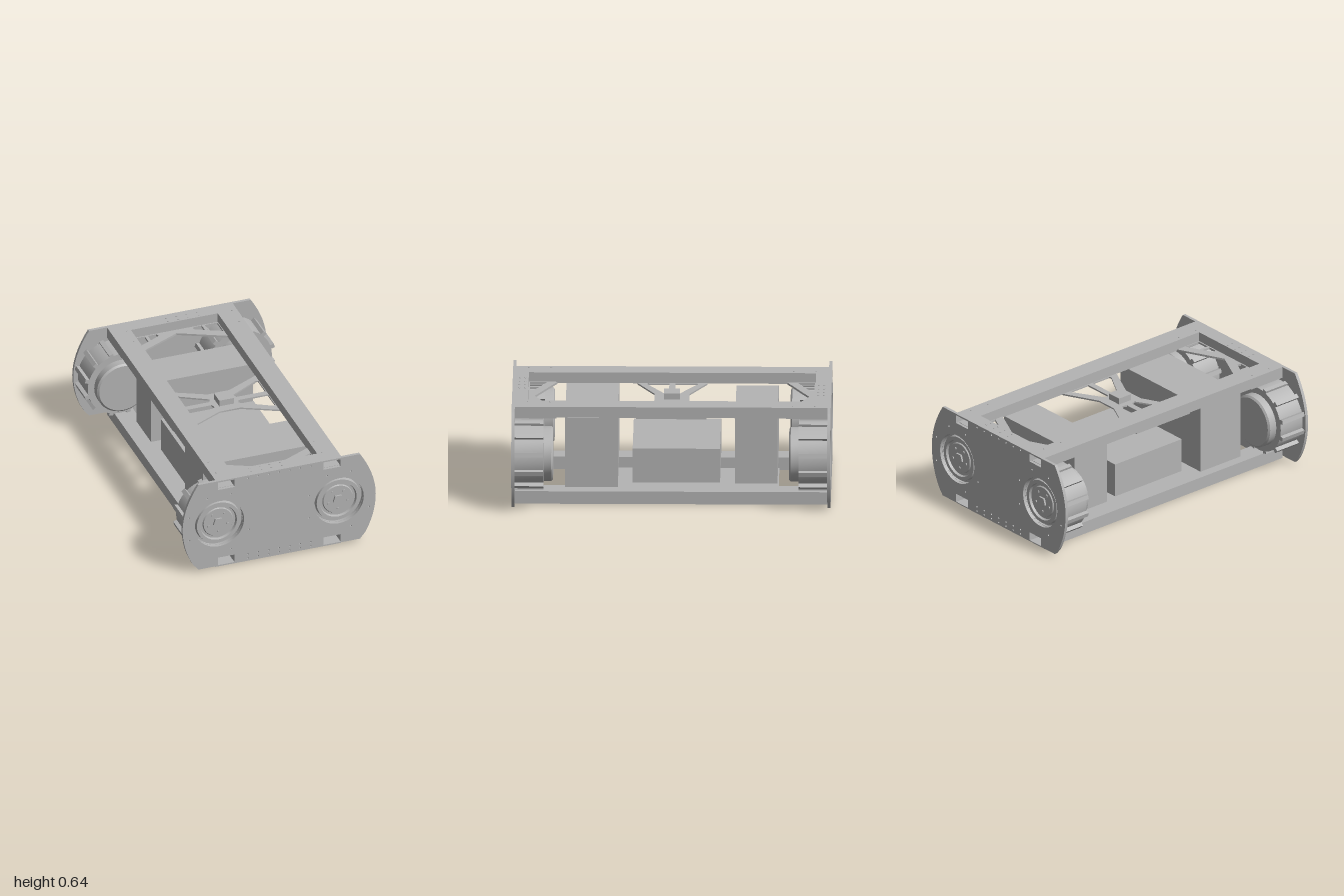
import * as THREE from 'three';
import { toCreasedNormals } from 'three/addons/utils/BufferGeometryUtils.js';

const frameGrey = new THREE.MeshStandardMaterial({ color: 0xb4b4b4 });
frameGrey.name = 'frameGrey';

function add(parent, name, geometry, x = 0, y = 0, z = 0) {
  const mesh = new THREE.Mesh(toCreasedNormals(geometry, 0.5), frameGrey);
  mesh.name = name;
  mesh.position.set(x, y, z);
  parent.add(mesh);
  return mesh;
}

// Box given by its limits
function block(parent, name, x0, x1, y0, y1, z0, z1) {
  const g = new THREE.BoxGeometry(x1 - x0, y1 - y0, z1 - z0);
  return add(parent, name, g, (x0 + x1) / 2, (y0 + y1) / 2, (z0 + z1) / 2);
}

const polygon = (pts, Type = THREE.Shape) => new Type(pts.map(p => new THREE.Vector2(...p)));
const rect = (x0, x1, y0, y1, Type) => polygon([[x0, y0], [x1, y0], [x1, y1], [x0, y1]], Type);
const extrude = (shape, depth) =>
  new THREE.ExtrudeGeometry(shape, { depth, bevelEnabled: false, curveSegments: 12 });

// Flat plate drawn in x and z, reaching down from its top height
const layFlat = (shape, thickness) => extrude(shape, thickness).rotateX(Math.PI / 2);

function roundHole(x, y, r) {
  const n = r > 0.05 ? 48 : 6, pts = [];
  for (let i = 0; i < n; i++) {
    const a = i / n * Math.PI * 2;
    pts.push([x + r * Math.cos(a), y + r * Math.sin(a)]);
  }
  return polygon(pts, THREE.Path);
}

// Bowed end plate with wheel bores, rail windows and bolt holes
function endPlateShape() {
  const s = new THREE.Shape();
  s.moveTo(-0.54, 0.637);
  s.lineTo(0.54, 0.637);
  s.quadraticCurveTo(0.643, 0.48, 0.645, 0.325);
  s.quadraticCurveTo(0.643, 0.18, 0.575, 0.06);
  s.lineTo(0.54, 0.017);
  s.lineTo(-0.54, 0.017);
  s.lineTo(-0.575, 0.06);
  s.quadraticCurveTo(-0.643, 0.18, -0.645, 0.325);
  s.quadraticCurveTo(-0.643, 0.48, -0.54, 0.637);
  const offsets = [[-0.08, 0.2], [0.08, 0.2], [-0.2, -0.085], [0.2, -0.085], [-0.2, 0.08], [0.08, -0.2]];
  for (const side of [-1, 1]) {
    const cx = 0.4 * side, a = side < 0 ? -0.41 : 0.297;
    s.holes.push(roundHole(cx, 0.325, 0.165));
    s.holes.push(rect(a, a + 0.113, 0.573, 0.627, THREE.Path));
    s.holes.push(rect(a, a + 0.113, 0.022, 0.077, THREE.Path));
    for (const [dx, dy] of offsets) s.holes.push(roundHole(cx + dx, 0.325 + dy, 0.006));
  }
  for (let i = -3; i <= 3; i++)
    for (const y of [0.618, 0.063, 0.033]) s.holes.push(roundHole(i * 0.07, y, 0.006));
  return s;
}

// Motor pod with ribbed housing, stepped wheel face and five-sided hub
function motorPod() {
  const pod = new THREE.Group();
  pod.name = 'motorPod';
  const profile = [
    [0, 0.74], [0.16, 0.74], [0.172, 0.75], [0.172, 0.8], [0.215, 0.8], [0.215, 0.98],
    [0.164, 0.98], [0.164, 0.962], [0.15, 0.962], [0.145, 0.988], [0.122, 0.988],
    [0.117, 0.972], [0.102, 0.972], [0.097, 0.98], [0, 0.98],
  ].map(p => new THREE.Vector2(...p));
  add(pod, 'housing', new THREE.LatheGeometry(profile, 40).rotateX(Math.PI / 2));
  for (let i = 0; i < 12; i++) {
    const a = (i + 0.5) / 12 * Math.PI * 2;
    const r = Math.abs(Math.cos(a)) > 0.5 ? 0.222 : 0.212;
    add(pod, 'housingRib', new THREE.BoxGeometry(0.035, 0.028, 0.18),
      r * Math.cos(a), r * Math.sin(a), 0.89).rotation.z = a;
  }
  add(pod, 'hub', new THREE.CylinderGeometry(0.037, 0.037, 0.014, 5).rotateX(Math.PI / 2), 0, 0, 0.985);
  for (let i = 0; i < 5; i++) {
    const a = -Math.PI / 2 + i / 5 * Math.PI * 2;
    add(pod, 'wheelBolt', new THREE.CylinderGeometry(0.009, 0.009, 0.008, 8).rotateX(Math.PI / 2),
      0.067 * Math.cos(a), 0.067 * Math.sin(a), 0.982);
  }
  return pod;
}

// One end: plate, pods, cross bars and corner truss
function endAssembly(name) {
  const end = new THREE.Group();
  end.name = name;
  add(end, 'endPlate', extrude(endPlateShape(), 0.02), 0, 0, 0.98);
  for (const side of [-1, 1]) {
    const pod = motorPod();
    pod.position.set(0.4 * side, 0.325, 0);
    end.add(pod);
  }
  block(end, 'upperCrossBar', -0.29, 0.29, 0.575, 0.637, 0.9, 0.98);
  block(end, 'lowerCrossBar', -0.29, 0.29, 0.012, 0.08, 0.9, 0.98);

  const truss = polygon([[-0.42, 0.98], [-0.42, 0.72], [-0.29, 0.72], [0, 0.86],
    [0.29, 0.72], [0.42, 0.72], [0.42, 0.98]]);
  for (const s of [-1, 1]) {
    truss.holes.push(polygon([[0.285 * s, 0.785], [0.2 * s, 0.825], [0.2 * s, 0.892],
      [0.285 * s, 0.892]], THREE.Path));
    truss.holes.push(polygon([[0.18 * s, 0.835], [0.115 * s, 0.87], [0.125 * s, 0.892],
      [0.18 * s, 0.892]], THREE.Path));
  }
  add(end, 'truss', layFlat(truss, 0.013), 0, 0.575, 0);

  // Bolt heads on top
  const bolts = [[-0.385, 0.9], [0.32, 0.9], [-0.385, 0.76], [0.32, 0.76]];
  for (const x of [-0.17, -0.1, -0.035, 0.035]) bolts.push([x, 0.92], [x, 0.955]);
  for (const [x, z] of bolts)
    add(end, 'topBolt', new THREE.CylinderGeometry(0.006, 0.006, 0.004, 6), x, 0.638, z);
  return end;
}

export function createModel() {
  const model = new THREE.Group();
  model.name = 'wheeledChassis';

  // Hollow rails running the full length
  for (const side of [-1, 1]) {
    for (const [name, y0, y1] of [['upperRail', 0.567, 0.637], ['lowerRail', 0.012, 0.082]]) {
      const tube = rect(-0.065, 0.065, y0, y1);
      tube.holes.push(rect(-0.057, 0.057, y0 + 0.008, y1 - 0.008, THREE.Path));
      add(model, name, extrude(tube, 1.96), 0.355 * side, 0, -0.98);
    }
  }

  // Floor with an opening at each end
  const floor = rect(-0.42, 0.42, -0.98, 0.98);
  floor.holes.push(rect(-0.29, 0.29, 0.67, 0.9, THREE.Path));
  floor.holes.push(rect(-0.29, 0.29, -0.9, -0.67, THREE.Path));
  add(model, 'floorPlate', layFlat(floor, 0.012), 0, 0.012, 0);

  // X-shaped middle brace and its small sensor box
  const brace = polygon([[-0.42, -0.22], [-0.29, -0.22], [-0.07, -0.11], [0.07, -0.11],
    [0.29, -0.22], [0.42, -0.22], [0.42, 0.22], [0.29, 0.22], [0.07, 0.11],
    [-0.07, 0.11], [-0.29, 0.22], [-0.42, 0.22]]);
  for (const sx of [-1, 1]) for (const sz of [-1, 1])
    brace.holes.push(polygon([[0.285 * sx, 0.02 * sz], [0.09 * sx, 0.02 * sz],
      [0.08 * sx, 0.05 * sz], [0.27 * sx, 0.16 * sz], [0.285 * sx, 0.155 * sz]], THREE.Path));
  add(model, 'middleBrace', layFlat(brace, 0.01), 0, 0.569, 0);
  block(model, 'sensorBox', -0.05, 0.05, 0.569, 0.61, -0.05, 0.05);

  // Equipment boxes
  block(model, 'frontBox', -0.385, 0.385, 0.1, 0.555, 0.335, 0.665);
  block(model, 'middleBox', -0.31, 0.31, 0.107, 0.33, -0.305, 0.243);
  block(model, 'rearBox', -0.34, 0.34, 0.112, 0.54, -0.665, -0.4);

  // Both ends
  const front = endAssembly('frontEnd');
  const rear = endAssembly('rearEnd');
  rear.rotation.y = Math.PI;
  model.add(front, rear);
  return model;
}
